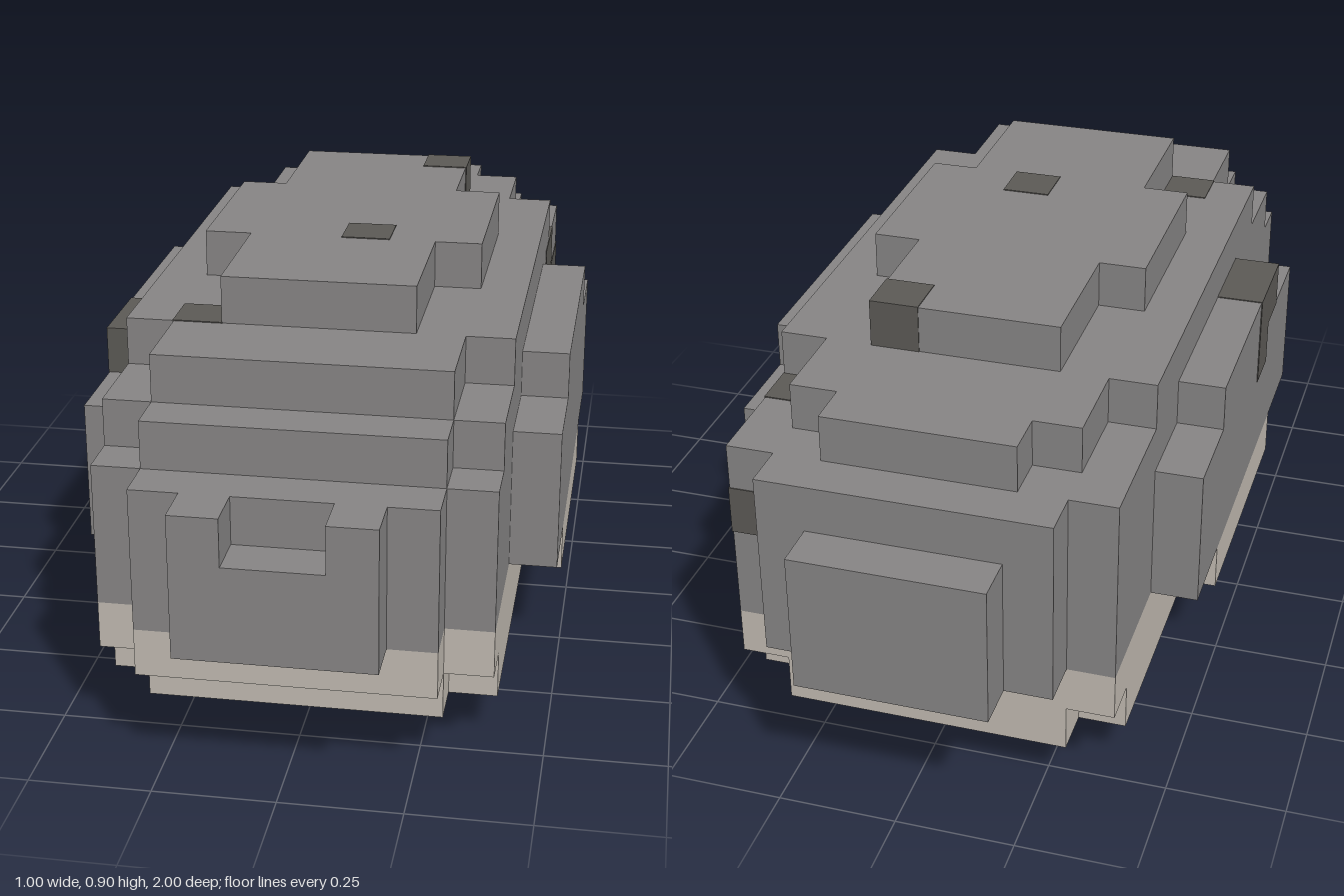
import * as THREE from 'three';

const CELL = 0.1;

function material(name, color) {
  const m = new THREE.MeshStandardMaterial({ color });
  m.name = name;
  return m;
}

// Symmetric stepped slab: start z, then [half width, z where that width ends]
function slab(name, mat, y0, y1, start, steps) {
  const half = [];
  let z = start;
  for (const [w, end] of steps) {
    half.push([w, z], [w, end]);
    z = end;
  }
  const outline = [...half, ...half.map(([x, pz]) => [-x, pz]).reverse()];
  const shape = new THREE.Shape(outline.map(([x, pz]) => new THREE.Vector2(x, pz)));
  const geo = new THREE.ExtrudeGeometry(shape, { depth: y1 - y0, bevelEnabled: false });
  geo.rotateX(Math.PI / 2).translate(0, y1, 0);
  const mesh = new THREE.Mesh(geo, mat);
  mesh.name = name;
  return mesh;
}

export function createModel() {
  const grey = material('stone grey', 0x868484);
  const tan = material('pale underside', 0xc0b9b0);
  const dark = material('dark spot', 0x5b5955);
  const group = new THREE.Group();
  group.name = 'blockyBoulder';

  // Pale lower layers
  group.add(slab('baseLayer', tan, 0, 0.1, -0.5, [[0.2, -0.2], [0.3, 0.2], [0.2, 0.5]]));
  group.add(slab('lowerLayer', tan, 0.1, 0.2, -0.8, [[0.3, -0.7], [0.4, 0.7], [0.3, 0.8]]));
  group.add(slab('bellyLayer', tan, 0.2, 0.3, -0.8,
    [[0.4, -0.3], [0.5, 0.3], [0.4, 0.8], [0.3, 0.9]]));

  // Grey middle, with a notch in the upper front edge
  const middle = [[0.2, -0.9], [0.3, -0.8], [0.4, -0.5], [0.5, 0.5], [0.4, 0.8], [0.3, 0.9], [0.2, 1]];
  group.add(slab('middleLayer', grey, 0.3, 0.5, -1, middle));
  group.add(slab('notchedLayer', grey, 0.5, 0.6, -1, [...middle, [0.1, 0.9]]));

  // Grey upper layers
  group.add(slab('shoulderLayer', grey, 0.6, 0.7, -0.9,
    [[0.3, -0.8], [0.4, -0.3], [0.5, 0.3], [0.4, 0.7], [0.3, 0.8]]));
  group.add(slab('upperLayer', grey, 0.7, 0.8, -0.8,
    [[0.2, -0.7], [0.3, -0.5], [0.4, 0.5], [0.3, 0.7]]));
  group.add(slab('topLayer', grey, 0.8, 0.9, -0.5, [[0.2, -0.2], [0.3, 0.2], [0.2, 0.5]]));

  // Dark cells, given by their lowest corner in cells and barely proud of the surface
  const spots = [
    [3, 5, -8], [3, 5, -7], [3, 5, -6], [3, 6, -6], [3, 6, -5],
    [1, 8, -5], [0, 8, 1], [-3, 7, 4],
    [-5, 6, 1], [-5, 6, 2], [-5, 5, 1],
  ];
  const spotGeo = new THREE.BoxGeometry(CELL + 0.004, CELL + 0.004, CELL + 0.004);
  for (const [x, y, z] of spots) {
    const spot = new THREE.Mesh(spotGeo, dark);
    spot.name = 'darkSpot';
    spot.position.set((x + 0.5) * CELL, (y + 0.5) * CELL, (z + 0.5) * CELL);
    group.add(spot);
  }
  return group;
}
